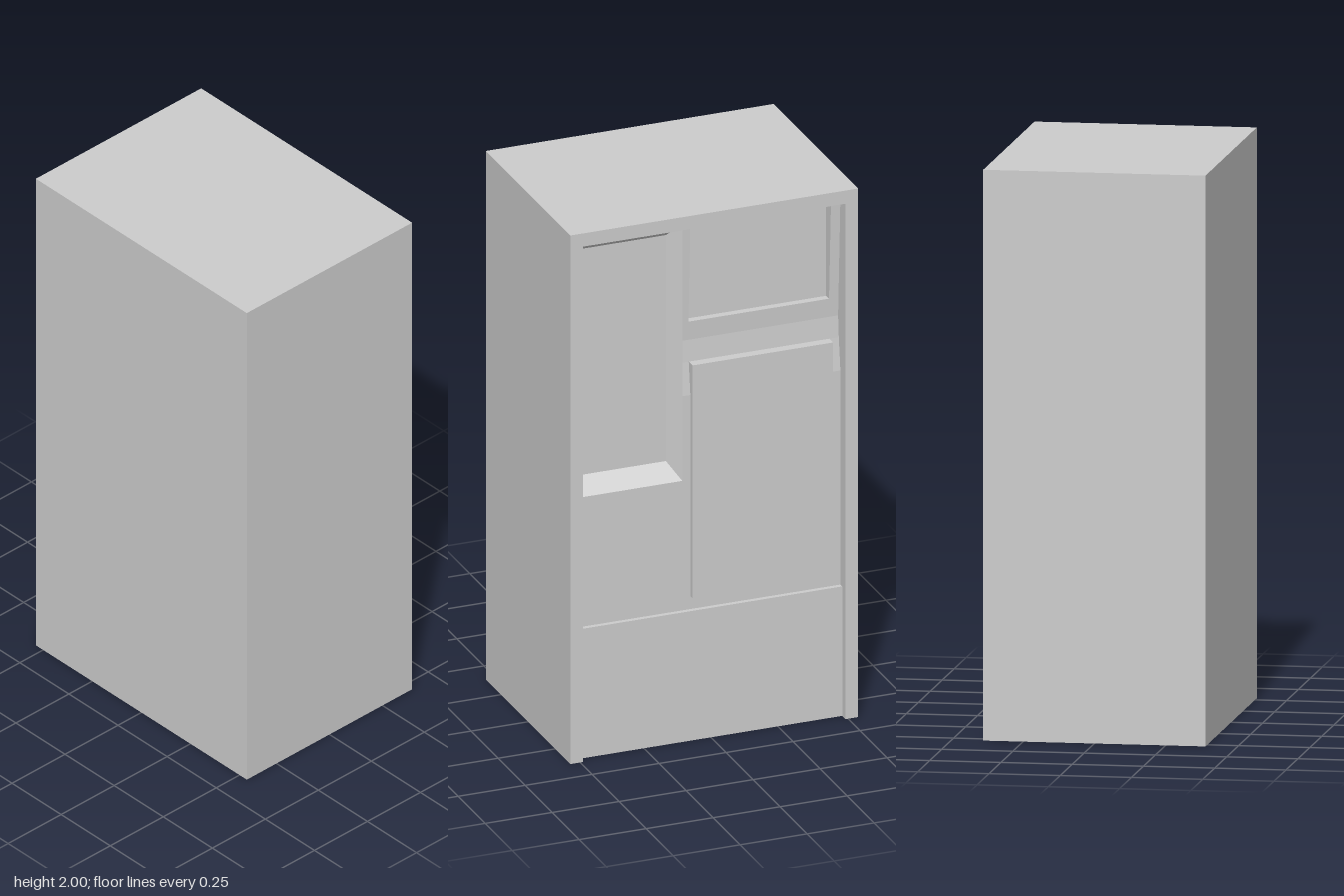
import * as THREE from 'three';

const W = 0.39, D = 0.537, H = 2;      // half width, half depth, height
const IN = 0.49, TOP = 1.95;           // inner limits of the rim around the detailed side
const BACK = W - 0.12;                 // floor of the side recess
const FACE = W - 0.047;                // main panel surface

export function createModel() {
  const group = new THREE.Group();
  group.name = 'cabinet';
  const mat = new THREE.MeshStandardMaterial({ color: 0xcccccc, flatShading: true });
  const thin = new THREE.MeshStandardMaterial({ color: 0xcccccc, flatShading: true, side: THREE.DoubleSide });

  const add = (name, geo, material = mat) => {
    const mesh = new THREE.Mesh(geo, material);
    mesh.name = name;
    group.add(mesh);
    return mesh;
  };
  // Box given by its limits on each axis
  const box = (name, x0, x1, y0, y1, z0, z1) => {
    const geo = new THREE.BoxGeometry(x1 - x0, y1 - y0, z1 - z0);
    geo.translate((x0 + x1) / 2, (y0 + y1) / 2, (z0 + z1) / 2);
    return add(name, geo);
  };
  const shapeOf = (pts) => new THREE.Shape(pts.map(([x, y]) => new THREE.Vector2(x, y)));
  // Profile in x and y, swept from z0 to z1
  const sweep = (name, pts, z0, z1) => {
    const geo = new THREE.ExtrudeGeometry(shapeOf(pts), { depth: z1 - z0, bevelEnabled: false });
    geo.translate(0, 0, z0);
    return add(name, geo);
  };

  // Shell: U-shaped plan open towards +x, closed by a lid
  const plan = shapeOf([[-W, -D], [W, -D], [W, -IN], [BACK, -IN], [BACK, IN], [W, IN], [W, D], [-W, D]]);
  const shell = new THREE.ExtrudeGeometry(plan, { depth: TOP, bevelEnabled: false });
  shell.rotateX(-Math.PI / 2);
  add('shell', shell);
  box('lid', -W, W, TOP, H, -D, D);

  // Panels on the detailed side
  box('lowerPanel', BACK, W - 0.03, 0, 0.49, -IN, IN);
  box('middlePanel', BACK, FACE, 0.49, 0.98, 0.1, IN);
  box('raisedPanel', BACK, W - 0.027, 0.54, 1.42, -0.455, 0.07);

  // Column beside the window: gently hollowed face, with a pocket in its middle strip
  const lower = [[BACK, 0.49], [FACE, 0.49], [FACE, 1.3], [W - 0.062, 1.42], [W - 0.068, 1.5], [W - 0.065, 1.57]];
  const plain = [...lower, [FACE, TOP], [BACK, TOP]];
  const pocket = [...lower, [W - 0.092, 1.57], [W - 0.092, 1.93], [W - 0.048, 1.93], [FACE, TOP], [BACK, TOP]];
  sweep('columnFrontStrip', plain, 0.07, 0.1);
  sweep('columnPocket', pocket, -0.455, 0.07);
  sweep('columnRearStrip', plain, -IN, -0.455);

  // Window: bevelled surround and sunken pane
  const rect = (x, y0, y1, z0, z1) => [[x, y0, z1], [x, y0, z0], [x, y1, z0], [x, y1, z1]];
  const outer = rect(FACE, 0.98, TOP, 0.1, IN);
  const inner = rect(W - 0.1, 1.04, 1.895, 0.14, 0.452);
  const quads = (list) => {
    const pos = list.flatMap(([a, b, c, d]) => [a, b, c, a, c, d]).flat();
    const geo = new THREE.BufferGeometry();
    geo.setAttribute('position', new THREE.Float32BufferAttribute(pos, 3));
    geo.computeVertexNormals();
    return geo;
  };
  const bevels = outer.map((p, i) => {
    const j = (i + 1) % 4;
    return [p, outer[j], inner[j], inner[i]];
  });
  add('windowSurround', quads(bevels), thin);
  add('windowPane', quads([inner]), thin);

  return group;
}
